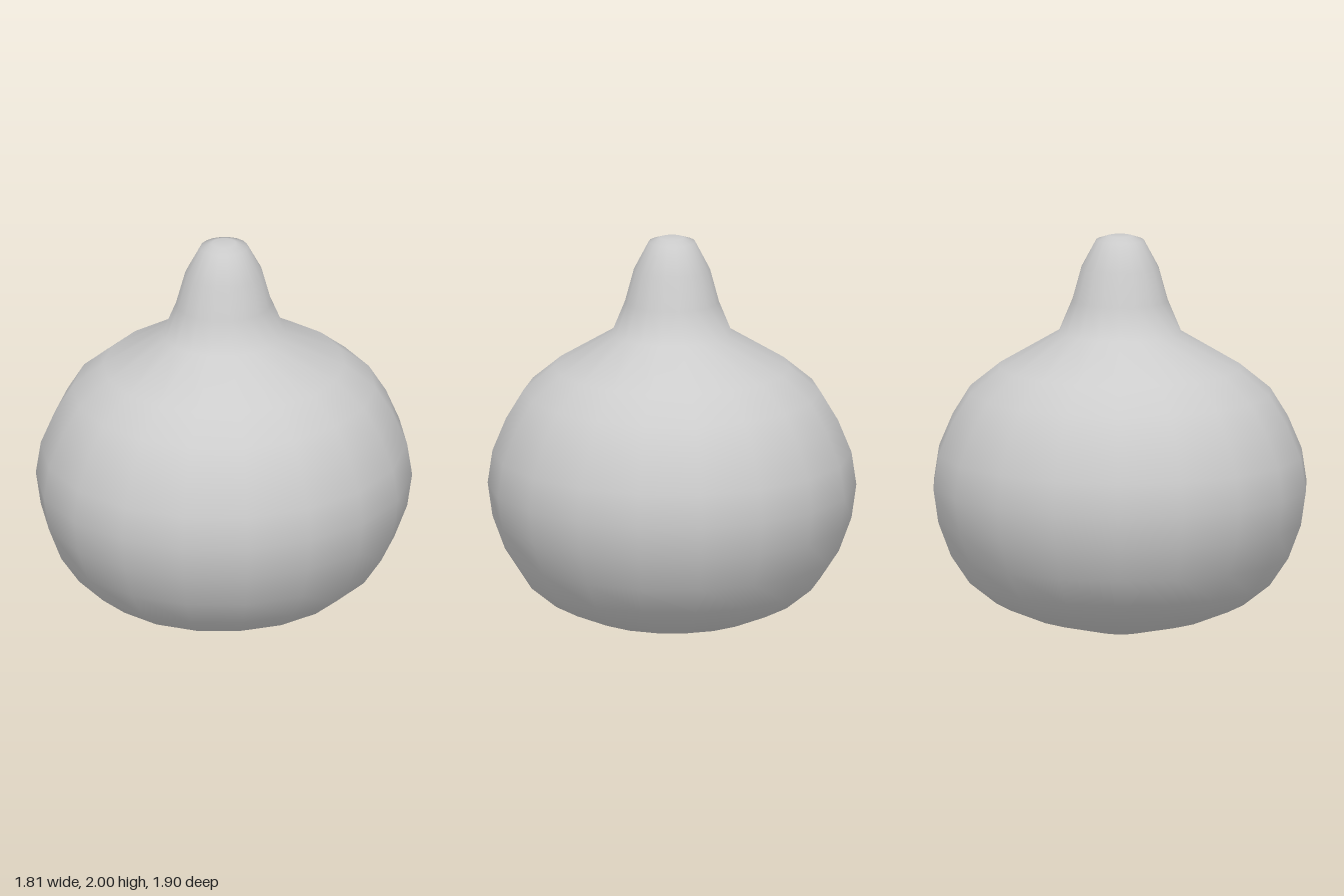
import * as THREE from 'three';

export function createModel() {
  const model = new THREE.Group();
  const grey = new THREE.MeshStandardMaterial({ color: 0xcccccc });
  grey.name = 'plain grey';

  // Round belly flowing into a short tapered neck: [radius, height]
  const profile = [
    [0, 0], [0.12, 0.004], [0.43, 0.075], [0.63, 0.155], [0.765, 0.26],
    [0.86, 0.4], [0.925, 0.57], [0.95, 0.74], [0.925, 0.905], [0.855, 1.07],
    [0.765, 1.215], [0.61, 1.34], [0.31, 1.515],
    [0.242, 1.675], [0.196, 1.84], [0.12, 1.98], [0.06, 2], [0, 2],
  ].map(([r, y]) => new THREE.Vector2(r, y));

  // Eighteen smooth-shaded sides, slightly narrower across than deep
  const geometry = new THREE.LatheGeometry(profile, 18);
  geometry.scale(0.965, 1, 1);

  const body = new THREE.Mesh(geometry, grey);
  body.name = 'bellyAndNeck';
  model.add(body);
  return model;
}
